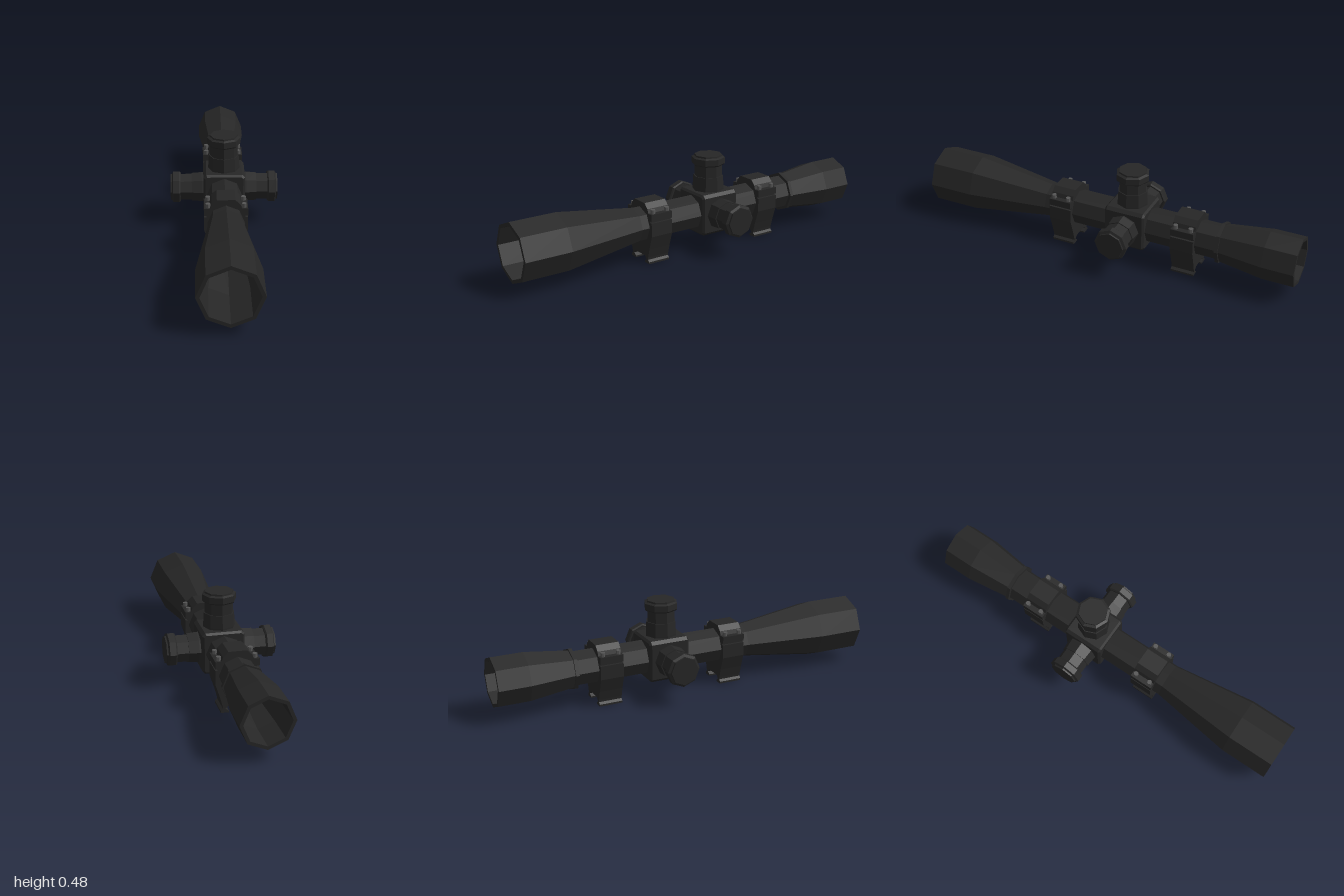
import * as THREE from 'three';

const CY = 0.192;        // height of the optical axis
const TURRET_Z = -0.12;  // turret block centre

const black = new THREE.MeshStandardMaterial({ color: 0x262626 });
black.name = 'matte black';
const grey = new THREE.MeshStandardMaterial({ color: 0x555555 });
grey.name = 'bolt grey';

// Unshared vertices give every facet its own normal
function flat(geometry) {
  const g = geometry.index ? geometry.toNonIndexed() : geometry;
  g.computeVertexNormals();
  return g;
}

function add(parent, name, geometry, material = black) {
  const mesh = new THREE.Mesh(flat(geometry), material);
  mesh.name = name;
  parent.add(mesh);
  return mesh;
}

const lathe = (pts) => new THREE.LatheGeometry(pts.map(([r, y]) => new THREE.Vector2(r, y)), 8);

function octagonHole(r) {
  const path = new THREE.Path();
  for (let i = 0; i < 8; i++) {
    const a = -i * Math.PI / 4;
    const x = r * Math.cos(a), y = r * Math.sin(a);
    if (i) path.lineTo(x, y); else path.moveTo(x, y);
  }
  path.closePath();
  return path;
}

// Mirrors a right-hand outline (bottom to top) into a closed shape
function mirroredShape(half) {
  const left = half.map(([x, y]) => [-x, y]).reverse();
  return new THREE.Shape([...half, ...left].map(([x, y]) => new THREE.Vector2(x, y)));
}

// Turret dial rising along +y from the optical axis
function dial(parent, name, lift) {
  return add(parent, name, lathe([
    [0.081, 0.09], [0.081, 0.115], [0.077, 0.167 + lift], [0.072, 0.167 + lift],
    [0.072, 0.225 + lift], [0.08, 0.225 + lift], [0.086, 0.232 + lift],
    [0.086, 0.263 + lift], [0.073, 0.269 + lift], [0.072, 0.277 + lift], [0, 0.277 + lift],
  ]));
}

// Clamp ring with rail foot and four bolts
function mountRing(parent, z) {
  const ring = new THREE.Group();
  ring.name = 'mountRing';
  ring.position.set(0, CY, z);
  const shape = mirroredShape([
    [0.04, 0.036], [0.057, 0.02], [0.04, 0.008], [0.04, 0], [0.08, 0], [0.08, 0.01],
    [0.069, 0.02], [0.071, 0.033], [0.084, 0.08], [0.107, 0.15], [0.107, 0.22],
    [0.094, 0.22], [0.094, 0.228], [0.107, 0.228], [0.107, 0.264], [0.078, 0.264],
    [0.07, 0.285], [0.045, 0.31],
  ].map(([x, y]) => [x, y - CY]));
  shape.holes.push(octagonHole(0.083));
  const body = new THREE.ExtrudeGeometry(shape, { depth: 0.12, bevelEnabled: false });
  add(ring, 'clamp', body.translate(0, 0, -0.06));
  for (const sx of [-1, 1]) for (const sz of [-1, 1]) {
    add(ring, 'bolt', new THREE.CylinderGeometry(0.012, 0.012, 0.022, 8), grey)
      .position.set(sx * 0.088, 0.081, sz * 0.04);
  }
  parent.add(ring);
}

export function createModel() {
  const model = new THREE.Group();
  model.name = 'opticalSight';

  // Open eight-sided tube: outside from back to front, then inside and back
  const tube = add(model, 'mainTube', lathe([
    [0.127, -1], [0.127, -0.84], [0.098, -0.615], [0.106, -0.615], [0.106, -0.597], [0.09, -0.597],
    [0.09, 0.34], [0.151, 0.76], [0.151, 1],
    [0.133, 1], [0.133, 0.76], [0.077, 0.34], [0.077, -0.6], [0.11, -0.84], [0.11, -1], [0.127, -1],
  ]));
  tube.rotation.x = Math.PI / 2;
  tube.position.y = CY;

  // Chamfered turret block around the tube
  const c = 0.092, s = 0.107;
  const blockShape = mirroredShape([[c, -s], [s, -c], [s, c], [c, s]]);
  blockShape.holes.push(octagonHole(0.079));
  const block = new THREE.ExtrudeGeometry(blockShape, {
    depth: 0.194, bevelEnabled: true, bevelSegments: 1,
    bevelSize: 0.01, bevelThickness: 0.01, bevelOffset: -0.01,
  }).translate(0, 0, -0.097);
  add(model, 'turretBlock', block).position.set(0, CY, TURRET_Z);

  // Top and side dials
  dial(model, 'topDial', 0.013).position.set(0, CY, TURRET_Z);
  for (const side of [-1, 1]) {
    const d = dial(model, side > 0 ? 'leftDial' : 'rightDial', 0);
    d.position.set(0, CY, TURRET_Z);
    d.rotation.z = -side * Math.PI / 2;
  }

  mountRing(model, 0.24);
  mountRing(model, -0.43);

  // Reticle: four posts, thin hairs and range dots
  const reticle = new THREE.Group();
  reticle.name = 'reticle';
  reticle.position.set(0, CY, TURRET_Z);
  for (let i = 0; i < 4; i++) {
    const arm = new THREE.Group();
    arm.name = 'reticleArm';
    arm.rotation.z = i * Math.PI / 2;
    add(arm, 'post', new THREE.BoxGeometry(0.038, 0.008, 0.004)).position.x = 0.058;
    add(arm, 'hair', new THREE.BoxGeometry(0.04, 0.001, 0.002)).position.x = 0.02;
    for (let k = 1; k <= 5; k++) {
      add(arm, 'rangeDot', new THREE.BoxGeometry(0.003, 0.003, 0.003)).position.x = k * 0.0068;
    }
    reticle.add(arm);
  }
  model.add(reticle);

  return model;
}
